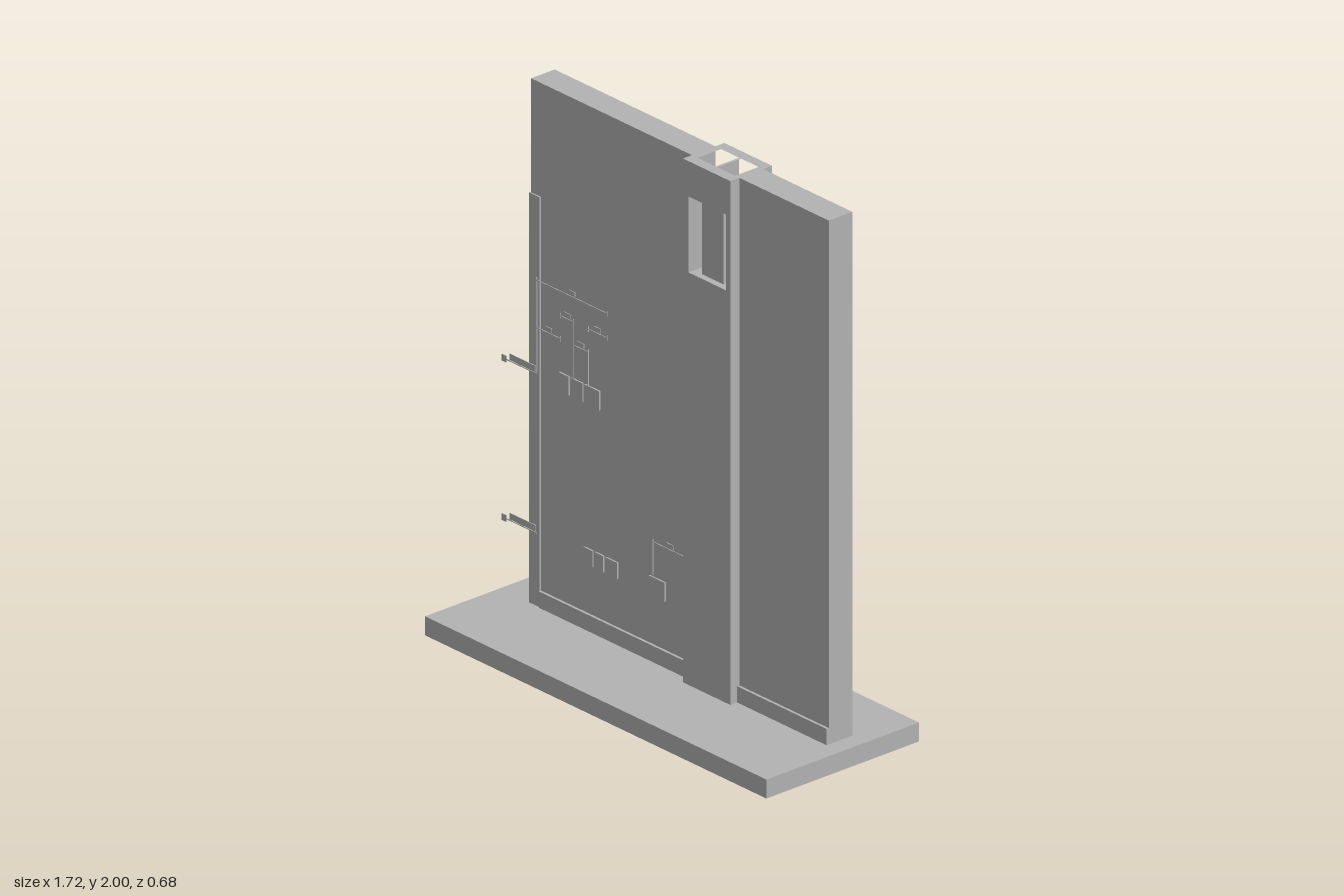
import * as THREE from 'three';

export function createModel() {
  const model = new THREE.Group();
  const plaster = new THREE.MeshStandardMaterial({ color: 0xb2b2b2 });
  plaster.name = 'grey plaster';

  const add = (name, geometry, parent = model) => {
    const mesh = new THREE.Mesh(geometry, plaster);
    mesh.name = name;
    parent.add(mesh);
    return mesh;
  };
  // Box given by its minimum and maximum on each axis
  const box = (name, x0, x1, y0, y1, z0, z1, parent) => {
    const g = new THREE.BoxGeometry(x1 - x0, y1 - y0, z1 - z0);
    g.translate((x0 + x1) / 2, (y0 + y1) / 2, (z0 + z1) / 2);
    return add(name, g, parent);
  };
  const group = (name) => {
    const g = new THREE.Group();
    g.name = name;
    model.add(g);
    return g;
  };

  // Floor slab and the two wall halves either side of the chimney
  box('floorSlab', -0.86, 0.86, 0, 0.07, -0.34, 0.34);
  box('wallWide', -0.71, 0.1, 0.07, 2, -0.105, 0);
  box('wallNarrow', 0.34, 0.79, 0.07, 2, -0.105, 0);

  // Skirting boards and the guard wrapped round the wall end
  box('skirtingWide', -0.66, 0.1, 0.07, 0.13, 0, 0.01);
  box('skirtingNarrow', 0.34, 0.79, 0.07, 0.13, 0, 0.01);
  box('cornerGuard', -0.714, -0.66, 0.07, 1.58, -0.111, 0.006);

  // Chimney: plan shapes (x, z) extruded upward
  const plan = (pts) => pts.map(([x, z]) => new THREE.Vector2(x, -z));
  const rect = (x0, x1, z0, z1) => plan([[x0, z0], [x1, z0], [x1, z1], [x0, z1]]);
  const rise = (name, shape, y0, y1, parent) => {
    const g = new THREE.ExtrudeGeometry(shape, { depth: y1 - y0, bevelEnabled: false });
    g.rotateX(-Math.PI / 2).translate(0, y0, 0);
    return add(name, g, parent);
  };
  const chimney = group('chimney');
  box('chimneyLower', 0.1, 0.34, 0.07, 1.59, -0.145, 0.04, chimney);
  // Front opening with a block standing in the middle of it
  rise('chimneyOpening', new THREE.Shape(plan([
    [0.1, -0.145], [0.1, 0.04], [0.128, 0.04], [0.128, -0.03], [0.168, -0.03], [0.168, 0.015],
    [0.276, 0.015], [0.276, -0.03], [0.318, -0.03], [0.318, 0.04], [0.34, 0.04], [0.34, -0.145],
  ])), 1.59, 1.87, chimney);
  // Twin flues open at the top
  const flues = new THREE.Shape(rect(0.1, 0.34, -0.145, 0.04));
  for (const [x0, x1] of [[0.129, 0.22], [0.23, 0.318]]) {
    flues.holes.push(new THREE.Path(rect(x0, x1, -0.105, 0)));
  }
  rise('chimneyTop', flues, 1.87, 2, chimney);

  // Thin measuring lines with end ticks and a small tag in the middle
  const marks = group('measuringMarks');
  const Z0 = 0.018, Z1 = 0.021, T = 0.0015;
  const lineX = (x0, x1, y) => box('measureLine', x0, x1, y - T, y + T, Z0, Z1, marks);
  const lineY = (x, y0, y1) => box('measureDrop', x - T, x + T, y0, y1, Z0, Z1, marks);
  const tag = (x, y) => box('measureTag', x - 0.016, x + 0.016, y, y + 0.016, Z0, Z1, marks);
  for (const [x0, x1, y] of [
    [-0.66, -0.305, 1.28], [-0.54, -0.475, 1.19], [-0.4, -0.305, 1.19],
    [-0.66, -0.54, 1.105], [-0.475, -0.4, 1.105], [-0.075, 0.1, 0.52],
  ]) {
    lineX(x0, x1, y);
    for (const x of [x0, x1]) lineY(x, y - 0.01, y + 0.01);
    tag((x0 + x1) / 2, y + 0.006);
  }
  lineY(-0.66, 0.94, 1.28);
  lineY(-0.475, 0.98, 1.19);
  lineY(-0.4, 0.98, 1.105);
  lineY(-0.075, 0.4, 0.52);

  // Side pointers reaching past the wall end
  for (const y of [0.935, 0.348]) {
    lineX(-0.83, -0.66, y);
    box('pointerBar', -0.795, -0.665, y + 0.004, y + 0.027, Z0, Z1, marks);
    box('pointerEnd', -0.835, -0.812, y - 0.012, y + 0.012, Z0, Z1, marks);
  }

  // Switch and socket plates on both faces
  const plates = group('wallPlates');
  for (const [x0, x1, y0, y1] of [
    [-0.565, -0.515, 0.9, 0.97], [-0.505, -0.445, 0.9, 0.97], [-0.435, -0.36, 0.9, 0.97],
    [-0.44, -0.395, 0.31, 0.37], [-0.385, -0.34, 0.31, 0.37], [-0.33, -0.27, 0.31, 0.37],
    [-0.11, -0.03, 0.31, 0.38],
  ]) box('frontPlate', x0, x1, y0, y1, 0, 0.006, plates);
  for (const [x0, x1] of [[-0.56, -0.515], [-0.505, -0.45]]) {
    box('backPlate', x0, x1, 0.86, 0.94, -0.111, -0.105, plates);
  }
  return model;
}
